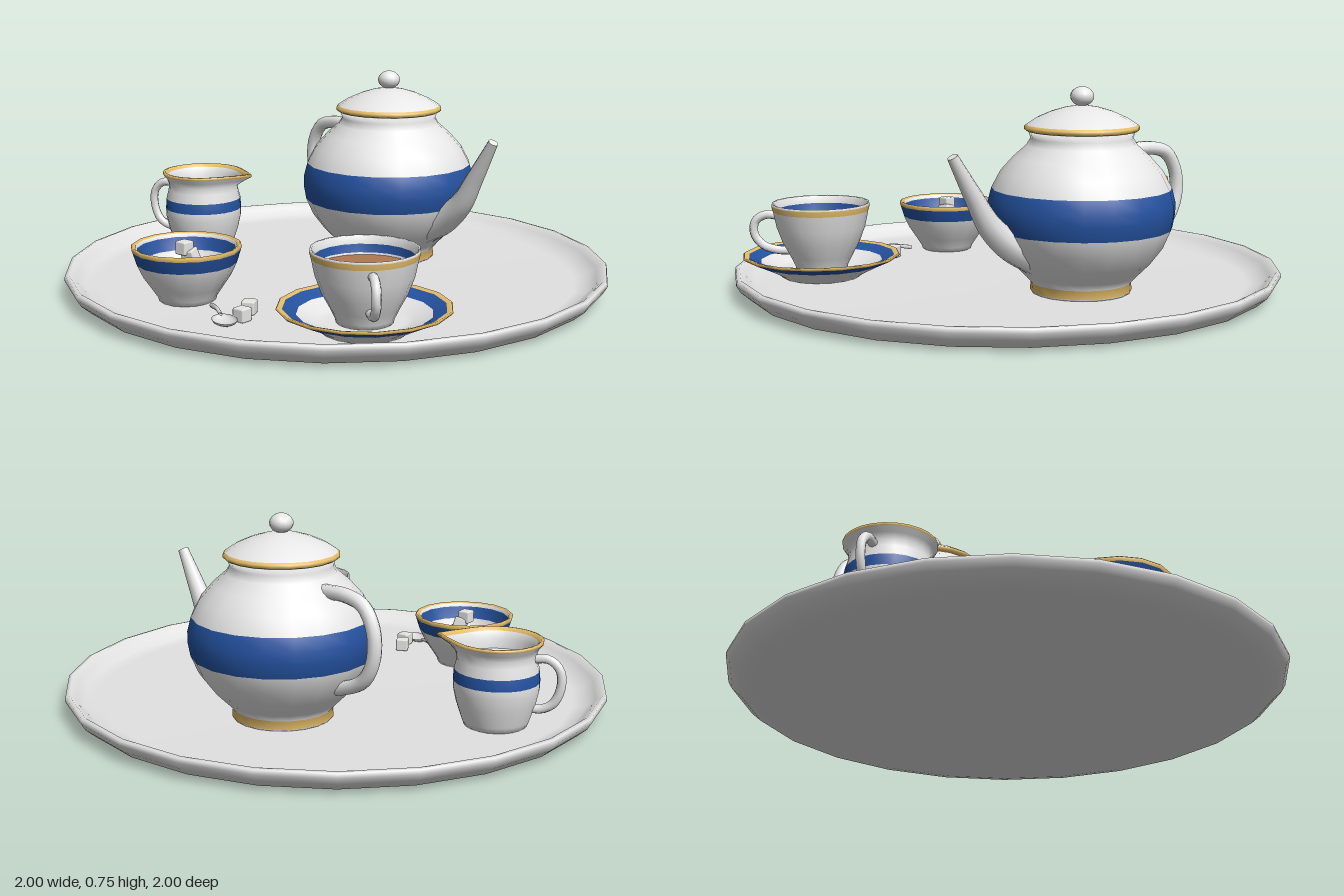
import * as THREE from 'three';
import { RoundedBoxGeometry } from 'three/addons/geometries/RoundedBoxGeometry.js';

const mat = (name, color, side = THREE.FrontSide) => {
  const m = new THREE.MeshStandardMaterial({ color, side });
  m.name = name;
  return m;
};

export function createModel() {
  const model = new THREE.Group();
  const porcelain = mat('porcelain', 0xf0f0f0);
  const trayMat = mat('tray', 0xe2e2e2);
  const blue = mat('blue glaze', 0x2452a0);
  const gold = mat('gold trim', 0xe6be6a);
  const tea = mat('tea', 0xae7850);
  const milk = mat('milk', 0xffffff);
  const sugar = mat('sugar', 0xf4f4f2);
  const silver = mat('silver', 0xdcdcdc, THREE.DoubleSide);
  const mats = { w: porcelain, b: blue, g: gold, t: trayMat };

  const add = (parent, name, geo, material, x = 0, y = 0, z = 0) => {
    const mesh = new THREE.Mesh(geo, material);
    mesh.name = name;
    mesh.position.set(x, y, z);
    parent.add(mesh);
    return mesh;
  };
  const group = (name, x, z, turn = 0) => {
    const g = new THREE.Group();
    g.name = name;
    g.position.set(x, 0, z);
    g.rotation.y = turn;
    model.add(g);
    return g;
  };

  // Turned shape; each letter of "bands" colours one step of the profile
  const turned = (parent, name, profile, bands, sides) => {
    const geo = new THREE.LatheGeometry(profile.map(p => new THREE.Vector2(...p)), sides);
    const old = geo.index.array, steps = profile.length - 1;
    const used = [...new Set(bands)], index = [];
    used.forEach((letter, m) => {
      const start = index.length;
      for (let s = 0; s < sides; s++)
        for (let j = 0; j < steps; j++)
          if (bands[j] === letter) {
            const k = (s * steps + j) * 6;
            index.push(...old.slice(k, k + 6));
          }
      geo.addGroup(start, index.length - start, m);
    });
    geo.setIndex(index);
    return add(parent, name, geo, used.map(l => mats[l]));
  };

  // Tube through points in the xy plane, with radius blending r0 to r1
  const tube = (parent, name, pts, r0, r1, material, steps = 20, sides = 10) => {
    const curve = new THREE.CatmullRomCurve3(pts.map(([x, y, z = 0]) => new THREE.Vector3(x, y, z)));
    const geo = new THREE.TubeGeometry(curve, steps, 1, sides);
    const p = geo.attributes.position, v = new THREE.Vector3();
    for (let i = 0; i < p.count; i++) {
      const t = Math.floor(i / (sides + 1)) / steps;
      const c = curve.getPointAt(t);
      v.fromBufferAttribute(p, i).sub(c).multiplyScalar(r0 + (r1 - r0) * t).add(c);
      p.setXYZ(i, v.x, v.y, v.z);
    }
    add(parent, name, geo, material);
    return curve;
  };
  const disc = (parent, name, r, y, material) => {
    add(parent, name, new THREE.CircleGeometry(r, 20), material, 0, y, 0).rotation.x = -Math.PI / 2;
  };

  // Round tray with a raised rim
  turned(model, 'tray', [[0, 0], [0.9, 0], [0.95, 0.01], [0.985, 0.04], [1, 0.065], [0.997, 0.08],
    [0.983, 0.083], [0.96, 0.065], [0.93, 0.04], [0.88, 0.03], [0, 0.027]], 'tttttttttt', 24);

  // Teapot
  const pot = group('teapot', -0.08, -0.345);
  turned(pot, 'teapotBody', [[0, 0.028], [0.175, 0.028], [0.18, 0.035], [0.178, 0.065], [0.2, 0.09],
    [0.25, 0.14], [0.295, 0.2], [0.321, 0.26], [0.33, 0.31], [0.33, 0.35], [0.317, 0.4], [0.285, 0.46],
    [0.24, 0.51], [0.195, 0.55], [0.18, 0.575], [0.188, 0.6], [0, 0.602]], 'wwgwwwwbbbwwwwww', 20);
  turned(pot, 'teapotLid', [[0, 0.598], [0.195, 0.6], [0.203, 0.606], [0.203, 0.615], [0.195, 0.622],
    [0.16, 0.645], [0.11, 0.667], [0.06, 0.682], [0.02, 0.688], [0, 0.69]], 'gggg' + 'wwwww', 20);
  add(pot, 'lidKnob', new THREE.SphereGeometry(0.042, 16, 10), porcelain, 0, 0.72, 0).scale.y = 0.82;
  tube(pot, 'teapotHandle', [[-0.2, 0.515], [-0.31, 0.518], [-0.39, 0.495], [-0.435, 0.42],
    [-0.435, 0.32], [-0.39, 0.24], [-0.31, 0.2], [-0.22, 0.18]], 0.025, 0.025, porcelain, 28);
  const spout = tube(pot, 'teapotSpout', [[0.2, 0.17], [0.3, 0.22], [0.385, 0.295], [0.45, 0.4],
    [0.5, 0.485], [0.535, 0.545]], 0.062, 0.019, porcelain, 24, 10);
  const end = spout.getPointAt(1);
  add(pot, 'spoutMouth', new THREE.CircleGeometry(0.019, 10), porcelain, end.x, end.y, end.z)
    .quaternion.setFromUnitVectors(new THREE.Vector3(0, 0, 1), spout.getTangentAt(1));

  // Cream jug, with its lip pulled out towards +x
  const jug = group('creamJug', -0.67, 0.11, 0.44);
  const jugBody = turned(jug, 'jugBody', [[0, 0.028], [0.11, 0.028], [0.118, 0.05], [0.138, 0.11],
    [0.149, 0.16], [0.15, 0.19], [0.147, 0.23], [0.138, 0.265], [0.136, 0.29], [0.144, 0.31],
    [0.158, 0.327], [0.159, 0.336], [0.15, 0.338], [0.14, 0.325], [0.126, 0.3], [0.124, 0.26], [0.12, 0.2],
    [0, 0.19]], 'wwwwwbwwwwgggwwww', 24);
  const p = jugBody.geometry.attributes.position;
  for (let i = 0; i < p.count; i++) {
    const x = p.getX(i), y = p.getY(i), z = p.getZ(i);
    const lift = THREE.MathUtils.smoothstep(y, 0.265, 0.335);
    const lean = Math.max(0, 1 - Math.abs(Math.atan2(z, x)) / 0.75);
    const k = 1 + 0.36 * lift * lean * lean;
    p.setXYZ(i, x * k, y, z * k);
  }
  disc(jug, 'milk', 0.124, 0.265, milk);
  tube(jug, 'jugHandle', [[-0.125, 0.275], [-0.18, 0.278], [-0.218, 0.245], [-0.224, 0.185],
    [-0.2, 0.125], [-0.16, 0.1], [-0.12, 0.098]], 0.016, 0.016, porcelain, 20, 8);

  // Sugar bowl and its cubes
  const bowl = group('sugarBowl', -0.115, 0.605);
  turned(bowl, 'bowlBody', [[0, 0.028], [0.1, 0.028], [0.105, 0.045], [0.128, 0.08], [0.155, 0.12],
    [0.176, 0.165], [0.19, 0.21], [0.194, 0.222], [0.188, 0.227], [0.177, 0.222], [0.174, 0.21], [0.16, 0.165],
    [0.138, 0.12], [0.1, 0.085], [0.05, 0.07], [0, 0.066]], 'wwwwwbgggwbwwww', 16);
  const cube = (parent, x, y, z, turn, tilt = 0) => {
    const c = add(parent, 'sugarCube', new RoundedBoxGeometry(0.048, 0.048, 0.048, 1, 0.006), sugar, x, y, z);
    c.rotation.set(tilt, turn, tilt * 0.7);
  };
  [[-0.06, 0.1, 0.03], [0, 0.095, 0.05], [0.05, 0.1, 0.05], [0.07, 0.105, 0.01], [0.03, 0.1, -0.03],
    [-0.045, 0.105, -0.045], [-0.075, 0.11, -0.005], [-0.02, 0.14, 0.02], [0.04, 0.145, 0.015],
    [-0.03, 0.15, -0.03], [0.01, 0.185, -0.01], [-0.005, 0.215, 0.005]]
    .forEach(([x, y, z], i) => cube(bowl, x, y, z, i * 1.3, 0.25 * Math.sin(i * 2)));
  cube(model, 0.167, 0.053, 0.555, 0.6);
  cube(model, 0.216, 0.053, 0.625, 0.15);

  // Spoon lying on the tray
  const spoon = group('spoon', 0.21, 0.695, -0.42);
  const scoop = add(spoon, 'spoonBowl',
    new THREE.SphereGeometry(1, 18, 6, 0, Math.PI * 2, Math.PI / 2, Math.PI / 2), silver, 0, 0.05, 0);
  scoop.scale.set(0.06, 0.02, 0.042);
  tube(spoon, 'spoonHandle', [[-0.055, 0.05], [-0.1, 0.055], [-0.18, 0.045]], 0.007, 0.009, silver, 8, 6);

  // Cup and saucer
  const cup = group('cupAndSaucer', 0.565, 0.395, -0.62);
  turned(cup, 'saucer', [[0, 0.028], [0.14, 0.028], [0.16, 0.045], [0.23, 0.08], [0.285, 0.105],
    [0.291, 0.112], [0.287, 0.117], [0.27, 0.112], [0.225, 0.092], [0.16, 0.066], [0.13, 0.06], [0, 0.06]],
    'wwwbgggbwww', 16);
  turned(cup, 'cupBody', [[0, 0.06], [0.095, 0.06], [0.098, 0.075], [0.115, 0.11], [0.142, 0.16],
    [0.164, 0.22], [0.176, 0.278], [0.182, 0.299], [0.18, 0.307], [0.173, 0.305], [0.167, 0.278], [0.162, 0.25],
    [0.152, 0.215], [0, 0.2]], 'wwwwwwgwwwbww', 20);
  disc(cup, 'teaSurface', 0.16, 0.243, tea);
  tube(cup, 'cupHandle', [[0.155, 0.255], [0.205, 0.26], [0.245, 0.235], [0.248, 0.185],
    [0.215, 0.145], [0.165, 0.128], [0.115, 0.125]], 0.016, 0.016, porcelain, 20, 8);

  return model;
}
